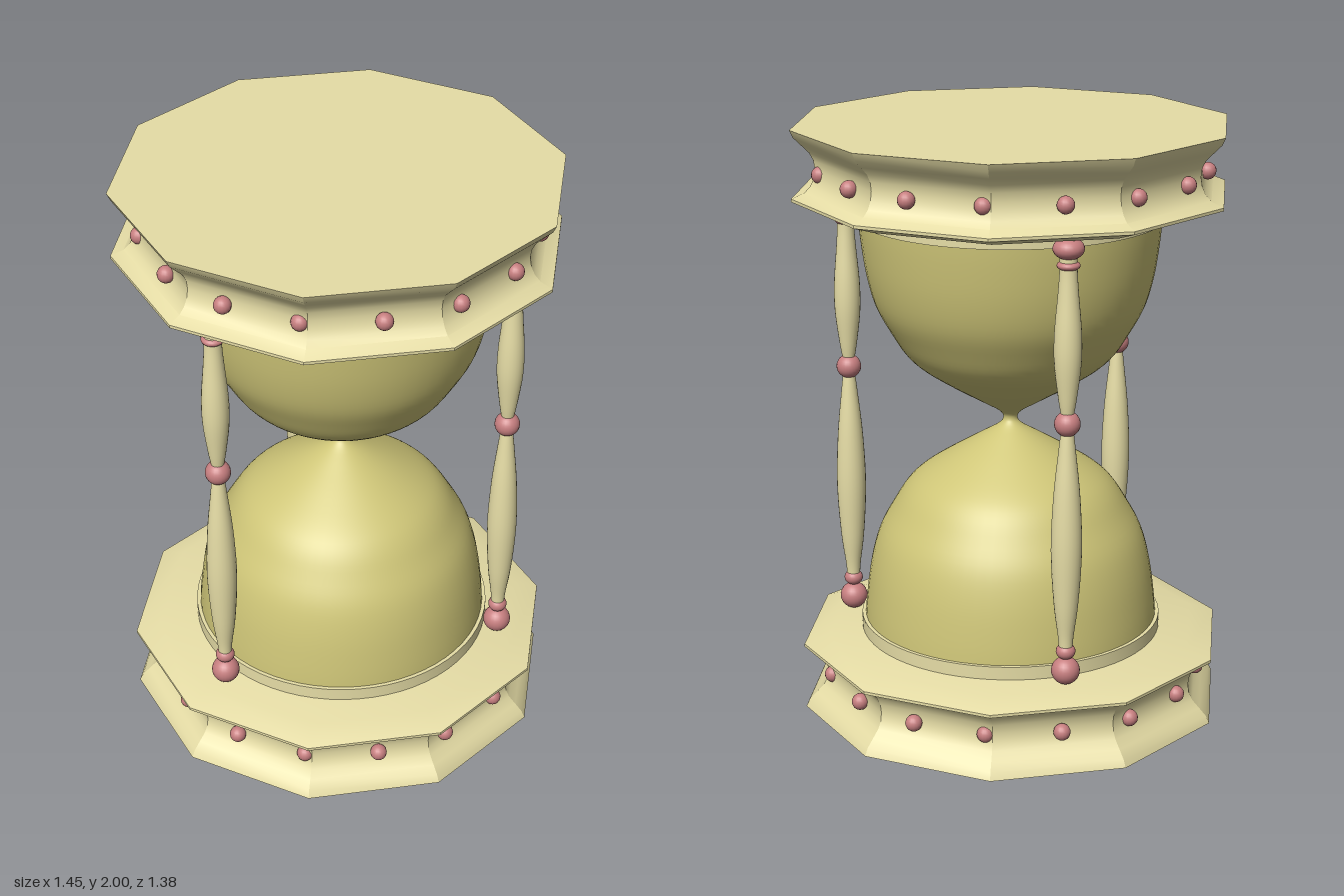
import * as THREE from 'three';
import { toCreasedNormals } from 'three/addons/utils/BufferGeometryUtils.js';

const material = (color, side = THREE.FrontSide) =>
  new THREE.MeshStandardMaterial({ color, side });

const points = (rows) => rows.map(([r, y]) => new THREE.Vector2(r, y));
// Turn a profile upside down about mid height, keeping it running upward
const flip = (rows) => rows.map(([r, y]) => [r, 2 - y]).reverse();
// Smooth a handful of profile points into a denser curve
const smooth = (rows, n) => new THREE.SplineCurve(points(rows)).getPoints(n);

export function createModel() {
  const model = new THREE.Group();
  model.name = 'hourglass';
  const wood = material(0xe6dda6);
  const glass = material(0xcfc678, THREE.DoubleSide);
  const rose = material(0xc77f80);

  const add = (parent, name, geometry, mat, x = 0, y = 0, z = 0) => {
    const mesh = new THREE.Mesh(geometry, mat);
    mesh.name = name;
    mesh.position.set(x, y, z);
    parent.add(mesh);
    return mesh;
  };

  // Ten-sided end plates with a scooped side and a sharp rim
  const plate = [
    [0, 0], [0.727, 0], [0.715, 0.025], [0.69, 0.05], [0.665, 0.075], [0.652, 0.1], [0.648, 0.13],
    [0.653, 0.16], [0.665, 0.185], [0.685, 0.205], [0.727, 0.222], [0.727, 0.232], [0.64, 0.26], [0, 0.26],
  ];
  const addPlate = (name, rows) => {
    const geometry = new THREE.LatheGeometry(points(rows), 10, Math.PI / 2);
    add(model, name, toCreasedNormals(geometry, 0.42), wood);
  };
  addPlate('basePlate', plate);
  addPlate('topPlate', flip(plate));

  // Sixteen studs round each plate; those near some corners sink into the wood
  const studGeometry = new THREE.SphereGeometry(0.028, 16, 12);
  for (const [name, y] of [['baseStud', 0.123], ['topStud', 1.857]]) {
    for (let i = 0; i < 16; i++) {
      const a = ((i + 0.5) / 16) * Math.PI * 2;
      add(model, name, studGeometry, rose, 0.636 * Math.cos(a), y, 0.636 * Math.sin(a));
    }
  }

  // Collars that seat the glass
  const collar = [[0.49, 0.25], [0.513, 0.25], [0.513, 0.305], [0.49, 0.305]];
  for (const [name, rows] of [['lowerCollar', collar], ['upperCollar', flip(collar)]]) {
    const geometry = toCreasedNormals(new THREE.LatheGeometry(points(rows), 64), 0.5);
    add(model, name, geometry, wood, 0.006, 0, 0.004);
  }

  // Two bulbs meeting at a narrow neck
  const bulb = [
    [0.503, 0.26], [0.496, 0.36], [0.478, 0.49], [0.448, 0.6], [0.4, 0.69], [0.355, 0.76],
    [0.3, 0.812], [0.2, 0.878], [0.1, 0.938], [0.04, 0.975], [0.024, 1],
  ];
  const glassProfile = smooth([...bulb, ...flip(bulb).slice(1)], 80);
  add(model, 'glassBulbs', new THREE.LatheGeometry(glassProfile, 64), glass, 0.006, 0, 0.004);

  // Three turned posts
  const lowerSpindle = smooth([
    [0.022, 0.36], [0.025, 0.42], [0.04, 0.54], [0.05, 0.72], [0.043, 0.9], [0.028, 1.05], [0.02, 1.12],
  ], 30);
  const upperSpindle = smooth([
    [0.02, 1.17], [0.03, 1.23], [0.043, 1.34], [0.043, 1.44], [0.033, 1.56], [0.028, 1.64], [0.028, 1.75],
  ], 30);
  const ball = new THREE.SphereGeometry(1, 24, 16);
  // Name, height, radius, half height
  const knobs = [
    ['footKnob', 0.305, 0.047, 0.046], ['footRing', 0.372, 0.032, 0.027],
    ['middleKnob', 1.143, 0.042, 0.041], ['neckRing', 1.652, 0.037, 0.017],
    ['headKnob', 1.705, 0.05, 0.035],
  ];
  for (let i = 0; i < 3; i++) {
    const a = Math.PI + (i * Math.PI * 2) / 3;
    const post = new THREE.Group();
    post.name = 'post';
    post.position.set(0.004 + 0.564 * Math.cos(a), 0, 0.004 + 0.564 * Math.sin(a));
    add(post, 'lowerSpindle', new THREE.LatheGeometry(lowerSpindle, 24), wood);
    add(post, 'upperSpindle', new THREE.LatheGeometry(upperSpindle, 24), wood);
    for (const [name, y, r, h] of knobs) add(post, name, ball, rose, 0, y, 0).scale.set(r, h, r);
    model.add(post);
  }

  return model;
}
